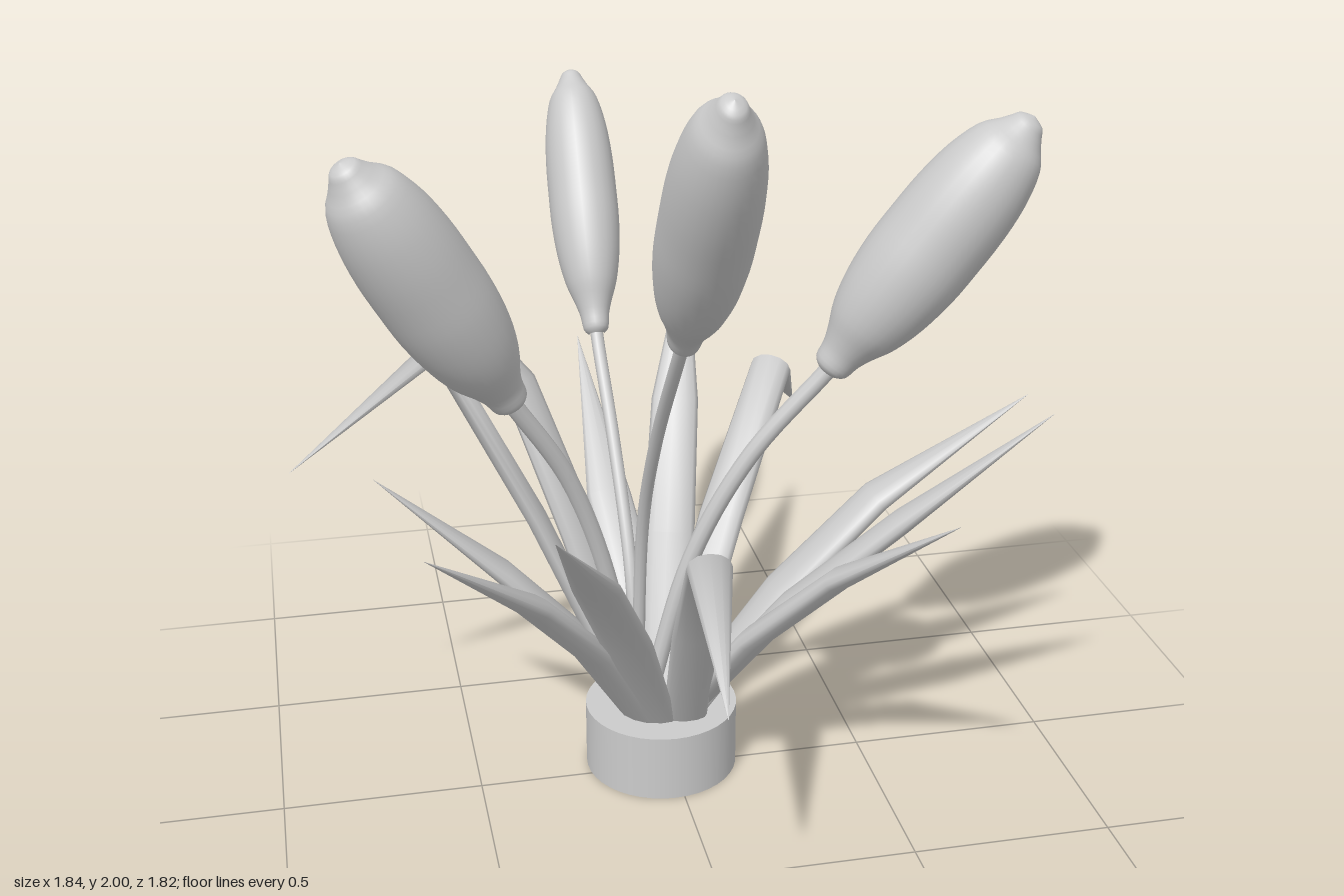
import * as THREE from 'three';

const material = new THREE.MeshStandardMaterial({ color: 0xcccccc });
const UP = new THREE.Vector3(0, 1, 0);
const V = (p) => new THREE.Vector3(...p);
const CENTRE = [-0.025, 0.15, -0.04];

function addMesh(parent, name, geometry) {
  const mesh = new THREE.Mesh(geometry, material);
  mesh.name = name;
  parent.add(mesh);
  return mesh;
}

// Leaf: oval sections swept from the pot to a shoulder, then tapering to a point
function leafGeometry(shoulder, tip, halfWidth, root) {
  const end = V(tip), bend = V(shoulder);
  const dir = end.clone().sub(V(root)).setY(0).normalize();
  const side = UP.clone().cross(dir);
  const base = V(root).addScaledVector(dir, 0.065);
  const mid = base.clone().lerp(bend, 0.5);
  mid.y += 0.04;
  const path = [base, mid, bend, end];
  const widths = [1, 1.04, 0.94, 0.01];
  const SIDES = 12, positions = [], index = [];

  path.forEach((p, i) => {
    const before = p.clone().sub(path[Math.max(i - 1, 0)]).normalize();
    const after = path[Math.min(i + 1, 3)].clone().sub(p).normalize();
    if (i === 0) before.copy(after);
    if (i === 3) after.copy(before);
    const tangent = before.clone().add(after).normalize();
    const normal = tangent.clone().cross(side).normalize();
    const w = halfWidth * widths[i];
    const thickness = 0.46 * w / tangent.dot(before); // mitred, so folds keep their thickness
    for (let j = 0; j < SIDES; j++) {
      const a = (j / SIDES) * Math.PI * 2;
      const v = p.clone().addScaledVector(side, w * Math.cos(a)).addScaledVector(normal, thickness * Math.sin(a));
      positions.push(v.x, v.y, v.z);
    }
  });
  for (let i = 0; i < 3; i++) {
    for (let j = 0; j < SIDES; j++) {
      const a = i * SIDES + j, b = i * SIDES + (j + 1) % SIDES;
      index.push(a, b, a + SIDES, b, b + SIDES, a + SIDES);
    }
  }
  const geometry = new THREE.BufferGeometry();
  geometry.setAttribute('position', new THREE.Float32BufferAttribute(positions, 3));
  geometry.setIndex(index);
  geometry.computeVertexNormals();
  return geometry;
}

// Flower head: [radius fraction, length fraction], with a knob at each end
const HEAD_PROFILE = [
  [0.22, 0], [0.36, 0.02], [0.42, 0.07], [0.54, 0.12], [0.74, 0.19], [0.9, 0.29], [0.99, 0.41], [1, 0.53],
  [0.98, 0.66], [0.89, 0.78], [0.71, 0.88], [0.48, 0.93], [0.35, 0.96], [0.24, 0.985], [0, 1],
];

function headGeometry(radius, length) {
  const curve = new THREE.SplineCurve(HEAD_PROFILE.map(([r, t]) => new THREE.Vector2(r * radius, t * length)));
  const points = curve.getPoints(42);
  points.forEach((p) => { p.x = Math.max(p.x, 0); });
  return new THREE.LatheGeometry(points, 28);
}

export function createModel() {
  const model = new THREE.Group();
  model.name = 'pottedPlant';

  // Round pot
  const pot = addMesh(model, 'pot', new THREE.CylinderGeometry(0.195, 0.195, 0.175, 40));
  pot.position.set(-0.022, 0.0875, -0.04);

  // Leaves: shoulder, tip, half width, root (a tip below its shoulder droops)
  const leaves = [
    [[0.53, 0.71, -0.025], [0.92, 0.96, -0.02], 0.069, [-0.03, 0.15, -0.015]],
    [[0.52, 0.76, 0.22], [0.84, 1.065, 0.34], 0.062],
    [[0.33, 0.7, 0.36], [0.5, 0.965, 0.67], 0.064],
    [[-0.02, 0.835, 0.5], [-0.05, 0.64, 0.82], 0.056, [0.03, 0.15, -0.03]],
    [[-0.27, 0.79, 0.46], [-0.4, 1.06, 0.757], 0.065],
    [[-0.4, 0.69, 0.33], [-0.655, 0.96, 0.585], 0.065],
    [[-0.42, 0.59, -0.04], [-0.725, 0.88, -0.02], 0.06],
    [[-0.55, 1.15, -0.16], [-0.92, 0.86, -0.14], 0.056, [-0.03, 0.15, -0.1]],
    [[-0.33, 0.97, -0.33], [-0.58, 1.3, -0.545], 0.065],
    [[-0.08, 0.575, -0.46], [-0.09, 0.87, -0.89], 0.064],
    [[0.1, 0.84, -0.45], [0.2, 1.18, -0.77], 0.066],
    [[0.37, 0.9, -0.48], [0.515, 0.67, -0.776], 0.06],
  ];
  const foliage = new THREE.Group();
  foliage.name = 'leaves';
  model.add(foliage);
  for (const [shoulder, tip, width, root = CENTRE] of leaves) {
    addMesh(foliage, 'leaf', leafGeometry(shoulder, tip, width, root));
  }

  // Flowers: stem points, ending at the bottom of the head, then head tip, radius and relative depth
  const flowers = [
    { name: 'frontFlower', stem: [[-0.08, 0.15, -0.06], [-0.08, 0.7, 0.02], [-0.075, 1.0, 0.17], [-0.065, 1.34, 0.42]],
      tip: [-0.07, 1.995, 0.89], radius: 0.1, depth: 1.17, thickness: 0.016 },
    { name: 'backFlower', stem: [[-0.08, 0.15, -0.06], [-0.08, 0.5, -0.14], [-0.09, 0.8, -0.32], [-0.1, 1.025, -0.495]],
      tip: [-0.095, 1.635, -0.895], radius: 0.09, depth: 1.17, thickness: 0.017 },
    { name: 'leftFlower', stem: [[-0.07, 0.15, -0.025], [0.05, 0.6, -0.005], [0.19, 0.88, 0.025], [0.37, 1.1, 0.055]],
      tip: [0.81, 1.73, 0.16], radius: 0.128, depth: 1, thickness: 0.022 },
    { name: 'rightFlower', stem: [[-0.1, 0.15, -0.03], [-0.16, 0.55, 0.0], [-0.265, 0.87, 0.05], [-0.4, 1.1, 0.11]],
      tip: [-0.765, 1.75, 0.295], radius: 0.125, depth: 1, thickness: 0.022 },
  ];
  for (const { name, stem, tip, radius, depth, thickness } of flowers) {
    const flower = new THREE.Group();
    flower.name = name;
    model.add(flower);

    const bottom = V(stem[stem.length - 1]);
    const axis = V(tip).sub(bottom);
    const length = axis.length();
    axis.normalize();

    const points = stem.map(V);
    points.push(bottom.clone().addScaledVector(axis, 0.05));
    addMesh(flower, 'stem', new THREE.TubeGeometry(new THREE.CatmullRomCurve3(points), 24, thickness, 10));

    const head = addMesh(flower, 'flowerHead', headGeometry(radius, length));
    head.position.copy(bottom);
    head.quaternion.setFromUnitVectors(UP, axis);
    head.scale.z = depth;
  }
  return model;
}
